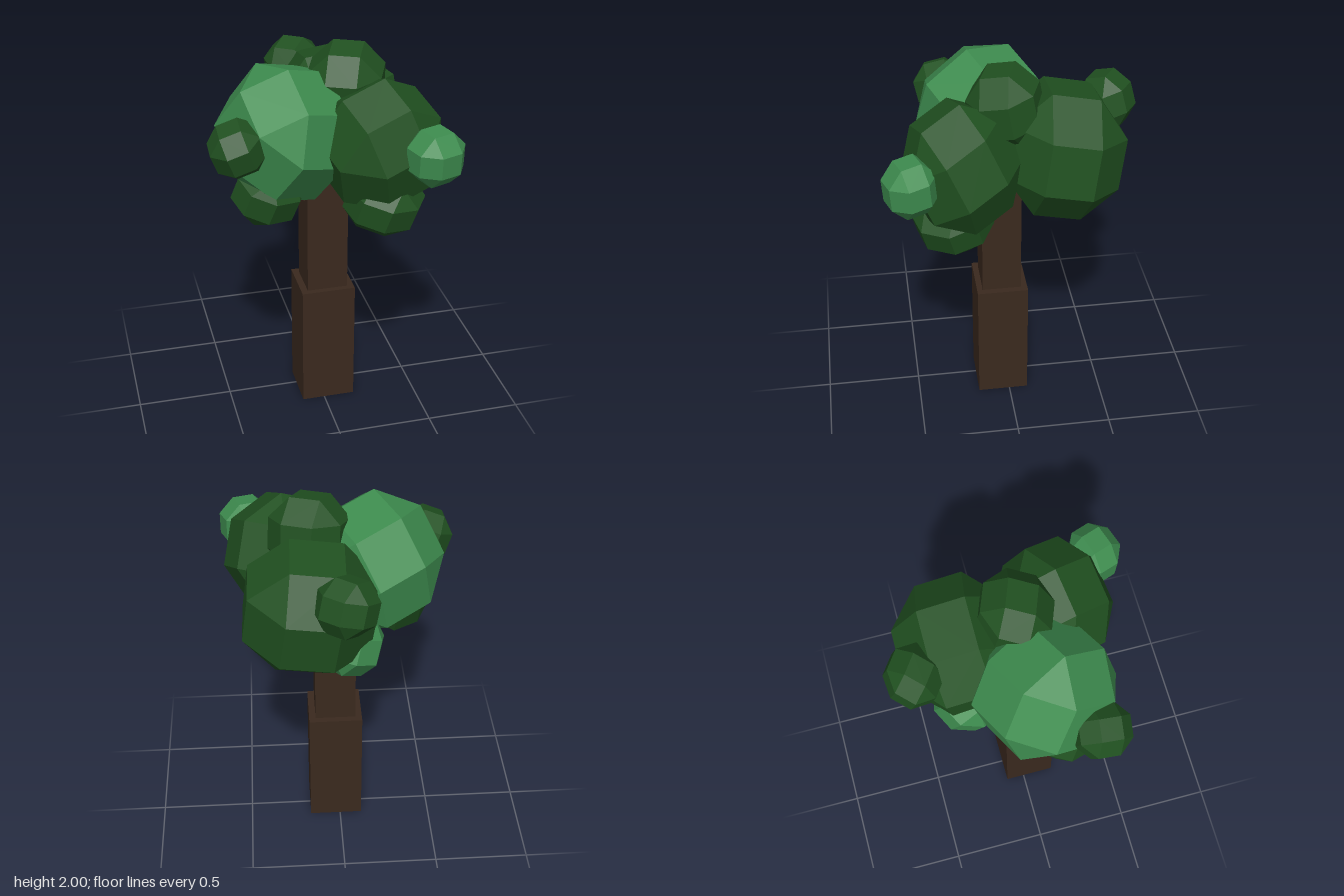
import * as THREE from 'three';
import { ConvexGeometry } from 'three/addons/geometries/ConvexGeometry.js';

const bark = new THREE.MeshStandardMaterial({ color: 0x3a291e });
bark.name = 'bark brown';
const darkLeaf = new THREE.MeshStandardMaterial({ color: 0x205020 });
darkLeaf.name = 'dark leaf green';
const lightLeaf = new THREE.MeshStandardMaterial({ color: 0x3d8b4e });
lightLeaf.name = 'light leaf green';

// Corners of a cube with every edge and corner cut away
const corners = [];
for (let axis = 0; axis < 3; axis++) {
  for (let bits = 0; bits < 8; bits++) {
    const c = [0, 1, 2].map((k) => (bits >> k & 1 ? 1 : -1) * (k === axis ? 1 : 0.42));
    corners.push(new THREE.Vector3(...c));
  }
}

// Faceted ball with one face turned towards "up" and one towards "side", fitted to its half-sizes
function leafBall(name, material, centre, half, up, side) {
  const y = new THREE.Vector3(...up).normalize();
  const z = new THREE.Vector3(...side).cross(y).normalize();
  const x = new THREE.Vector3().crossVectors(y, z);
  const geo = new ConvexGeometry(corners);
  geo.applyMatrix4(new THREE.Matrix4().makeBasis(x, y, z));
  geo.computeBoundingBox();
  const reach = geo.boundingBox.max;
  geo.scale(half[0] / reach.x, half[1] / reach.y, half[2] / reach.z);
  geo.computeVertexNormals();
  const mesh = new THREE.Mesh(geo, material);
  mesh.name = name;
  mesh.position.set(...centre);
  return mesh;
}

// Square post standing between two heights
function post(name, w, d, y0, y1, x, z) {
  const mesh = new THREE.Mesh(new THREE.BoxGeometry(w, y1 - y0, d), bark);
  mesh.name = name;
  mesh.position.set(x, (y0 + y1) / 2, z);
  return mesh;
}

// Square branch running from one point to another
function branch(name, from, to, width) {
  const a = new THREE.Vector3(...from);
  const b = new THREE.Vector3(...to);
  const mesh = new THREE.Mesh(new THREE.BoxGeometry(width, a.distanceTo(b), width), bark);
  mesh.name = name;
  mesh.position.copy(a).add(b).multiplyScalar(0.5);
  mesh.quaternion.setFromUnitVectors(new THREE.Vector3(0, 1, 0), b.sub(a).normalize());
  return mesh;
}

export function createModel() {
  const tree = new THREE.Group();
  tree.name = 'tree';

  // Stepped trunk
  tree.add(post('lowerTrunk', 0.285, 0.27, 0, 0.68, 0.023, 0.035));
  tree.add(post('upperTrunk', 0.215, 0.205, 0.68, 1.4, 0.023, 0.037));

  // Short branches spreading into the leaves
  const fork = [0.025, 1.17, 0.035];
  tree.add(branch('rightBranch', fork, [-0.22, 1.33, 0.06], 0.09));
  tree.add(branch('leftBranch', fork, [0.24, 1.3, 0.16], 0.09));
  tree.add(branch('backBranch', fork, [0.02, 1.34, -0.22], 0.09));

  // Large leaf masses
  tree.add(leafBall('rightLeafMass', lightLeaf, [-0.18, 1.58, 0.08], [0.35, 0.36, 0.36], [0.44, 0.78, 0.45], [0.87, -0.28, -0.41]));
  tree.add(leafBall('backLeafMass', darkLeaf, [0.16, 1.54, -0.26], [0.33, 0.35, 0.3], [-0.13, 0.97, -0.17], [1, 0.13, 0]));
  tree.add(leafBall('frontLeafMass', darkLeaf, [0.255, 1.54, 0.25], [0.325, 0.345, 0.295], [-0.2, 0.87, 0.46], [0.94, 0.23, -0.23]));
  tree.add(leafBall('topLeafMass', darkLeaf, [0.145, 1.79, 0.02], [0.205, 0.21, 0.195], [-0.05, 0.97, 0.2], [0.9, 0.1, 0.4]));

  // Lower leaf clumps
  tree.add(leafBall('lowerRightClump', darkLeaf, [-0.29, 1.3, 0.16], [0.19, 0.175, 0.18], [0.25, 0.9, 0.3], [0.85, -0.2, -0.4]));
  tree.add(leafBall('lowerLeftClump', darkLeaf, [0.27, 1.25, 0.3], [0.205, 0.165, 0.205], [0.2, 0.95, 0.2], [0.85, -0.2, 0.5]));
  tree.add(leafBall('lowerBackClump', lightLeaf, [-0.04, 1.33, -0.27], [0.17, 0.17, 0.18], [-0.25, 0.9, 0.35], [0.8, 0.2, -0.5]));

  // Small outer leaf clumps
  tree.add(leafBall('smallRightClump', darkLeaf, [-0.46, 1.61, 0.28], [0.14, 0.15, 0.145], [-0.35, 0.9, 0.2], [0.9, 0.35, 0.1]));
  tree.add(leafBall('smallLeftClump', lightLeaf, [0.455, 1.57, 0.51], [0.143, 0.14, 0.135], [0, 1, 0.08], [0.94, 0, -0.33]));
  tree.add(leafBall('smallBackClump', darkLeaf, [-0.005, 1.71, -0.51], [0.155, 0.15, 0.14], [-0.2, 0.93, 0.25], [0.65, 0.35, 0.65]));

  return tree;
}
